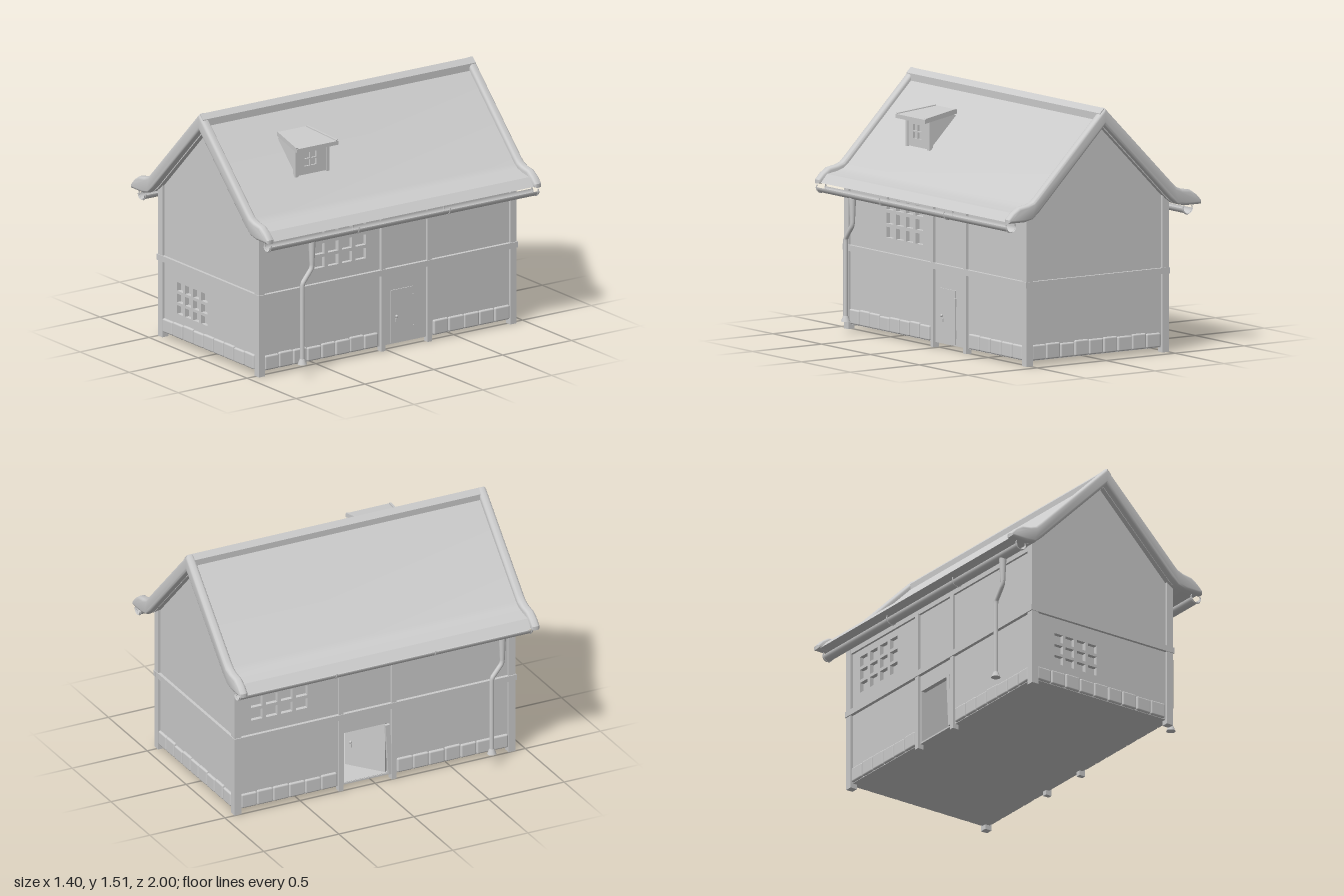
import * as THREE from 'three';
import { toCreasedNormals } from 'three/addons/utils/BufferGeometryUtils.js';
import { RoundedBoxGeometry } from 'three/addons/geometries/RoundedBoxGeometry.js';

const grey = new THREE.MeshStandardMaterial({ color: 0xcccccc });
const thin = new THREE.MeshStandardMaterial({ color: 0xcccccc, side: THREE.DoubleSide });

function add(parent, name, geo, x = 0, y = 0, z = 0, mat = grey) {
  const mesh = new THREE.Mesh(geo, mat);
  mesh.name = name;
  mesh.position.set(x, y, z);
  parent.add(mesh);
  return mesh;
}
const box = (w, h, d) => new THREE.BoxGeometry(w, h, d);
const outline = (pts) => new THREE.Shape(pts.map(([x, y]) => new THREE.Vector2(x, y)));

function extrude(shape, depth, bevel = 0) {
  const geo = new THREE.ExtrudeGeometry(shape, {
    depth: depth - 2 * bevel, bevelEnabled: bevel > 0, bevelSize: bevel,
    bevelThickness: bevel, bevelOffset: -bevel, bevelSegments: 4,
  });
  geo.translate(0, 0, bevel);
  return toCreasedNormals(geo, 0.6);
}

function rectHole(shape, cx, cy, w, h) {
  const a = w / 2, b = h / 2;
  shape.holes.push(outline([[cx - a, cy - b], [cx - a, cy + b], [cx + a, cy + b], [cx + a, cy - b]]));
}

// Cuts a grid of panes and puts the glass behind them
function paneGrid(parent, shape, cx, cy, cols, rows, px, py, w, h, zGlass) {
  for (let i = 0; i < cols; i++)
    for (let j = 0; j < rows; j++)
      rectHole(shape, cx + (i - (cols - 1) / 2) * px, cy + (j - (rows - 1) / 2) * py, w, h);
  add(parent, 'windowGlass', box(cols * px, rows * py, 0.006), cx, cy, zGlass);
}

// Row of slightly uneven foundation stones
let seed = 7;
const rand = () => (seed = (seed * 16807) % 2147483647) / 2147483647;
function stones(parent, u0, u1, face) {
  const n = Math.round((u1 - u0) / 0.103), w = (u1 - u0) / n;
  for (let i = 0; i < n; i++) {
    const h = 0.085 + rand() * 0.01;
    const s = add(parent, 'foundationStone', new RoundedBoxGeometry(w - 0.003, h, 0.035, 2, 0.01),
      u0 + (i + 0.5) * w, 0.033 + h / 2, face - 0.003);
    s.rotation.y = (rand() - 0.5) * 0.06;
  }
}

const HX = 0.5, HZ = 0.92, CX = 0.015, T = 0.03; // wall half sizes, centre, thickness

function side(house, name, angle) {
  const g = new THREE.Group();
  g.name = name;
  g.rotation.y = angle;
  house.add(g);
  return g;
}

function gable(house, name, angle, hasWindow) {
  const g = side(house, name, angle);
  const s = outline([[-HX, 0.03], [HX, 0.03], [HX, 0.92], [0, 1.42], [-HX, 0.92]]);
  if (hasWindow) paneGrid(g, s, -0.187, 0.275, 4, 3, 0.082, 0.071, 0.062, 0.053, HZ - T);
  add(g, 'gableWall', extrude(s, T), 0, 0, HZ - T);
  add(g, 'beltBeam', box(1.044, 0.036, 0.03), 0, 0.488, HZ + 0.004);
  stones(g, -0.475, 0.46, HZ);
}

// Long wall; u runs to the right when looking at the wall from outside
function longWall(house, name, angle, windowU, posts, stoneRuns, doorway) {
  const g = side(house, name, angle);
  const s = outline([[-HZ, 0.03], [HZ, 0.03], [HZ, 0.91], [-HZ, 0.91]]);
  paneGrid(g, s, windowU, 0.71, 4, 3, 0.1, 0.084, 0.075, 0.064, HX - T);
  if (doorway) rectHole(s, doorway[0], 0.205, doorway[1], 0.33);
  add(g, 'sideWall', extrude(s, T), 0, 0, HX - T);
  add(g, 'beltBeam', box(1.88, 0.036, 0.03), 0, 0.488, HX + 0.007);
  add(g, 'topBeam', box(1.86, 0.03, 0.025), 0, 0.885, HX + 0.002);
  for (const u of posts) add(g, 'wallPost', box(0.03, 0.88, 0.04), u, 0.44, HX - 0.003);
  for (const [a, b] of stoneRuns) stones(g, a, b, HX);
  return g;
}

function doorLeaf(parent, width, handleU) {
  add(parent, 'doorLeaf', box(width, 0.325, 0.02), width / 2, 0.2, 0);
  const knob = add(parent, 'doorKnob', new THREE.SphereGeometry(0.009, 12, 8), handleU, 0.2, 0.02);
  knob.scale.z = 0.9;
  add(parent, 'keyPlate', box(0.008, 0.022, 0.006), handleU, 0.172, 0.012);
}

// One half of the roof section, mirrored for the other slope
const mirrored = (top, under) => outline([
  ...top.map(([x, y]) => [x, y]), ...under.map(([x, y]) => [x, y]),
  ...under.slice(0, -1).reverse().map(([x, y]) => [-x, y]), ...top.slice(1).reverse().map(([x, y]) => [-x, y]),
]);

function buildRoof(root) {
  const roof = new THREE.Group();
  roof.name = 'roof';
  root.add(roof);
  const panel = mirrored(
    [[0, 1.47], [0.49, 0.98], [0.52, 0.958], [0.57, 0.943], [0.64, 0.932], [0.685, 0.882]],
    [[0.57, 0.88], [0.52, 0.892], [0.48, 0.92], [0, 1.4]]);
  add(roof, 'roofPanel', extrude(panel, 1.91), 0.005, 0, -0.955);
  const trim = mirrored(
    [[0, 1.51], [0.49, 1.02], [0.52, 0.992], [0.56, 0.977], [0.62, 0.967], [0.665, 0.937], [0.7, 0.9], [0.7, 0.876]],
    [[0.58, 0.876], [0.52, 0.89], [0.47, 0.932], [0, 1.404]]);
  for (const z of [-1, 0.945]) add(roof, 'gableTrim', extrude(trim, 0.055, 0.018), 0.003, 0, z);
  const cap = outline([[0, 1.51], [-0.03, 1.48], [-0.03, 1.43], [0.03, 1.43], [0.03, 1.48]]);
  add(roof, 'ridgeCap', extrude(cap, 1.98), 0.008, 0, -0.99);
}

function buildDormer(root) {
  const d = new THREE.Group();
  d.name = 'dormer';
  d.position.z = 0.424;
  root.add(d);
  const body = outline([[0.13, 1.31], [0.335, 1.1], [0.335, 1.305], [0.18, 1.325]]);
  add(d, 'dormerBody', extrude(body, 0.22), 0, 0, -0.11);
  // Front with four small panes
  const f = new THREE.Group();
  f.name = 'dormerFront';
  f.rotation.y = Math.PI / 2;
  d.add(f);
  const s = outline([[-0.118, 1.13], [0.118, 1.13], [0.118, 1.305], [-0.118, 1.305]]);
  paneGrid(f, s, -0.01, 1.222, 2, 2, 0.047, 0.046, 0.038, 0.038, 0.338);
  add(f, 'dormerWall', extrude(s, 0.018), 0, 0, 0.335);
  for (const u of [-0.112, 0.112]) add(f, 'dormerPost', box(0.022, 0.18, 0.026), u, 1.215, 0.347);
  // Lean-to roof, widening towards its front
  const slab = box(0.262, 0.024, 0.3);
  const p = slab.attributes.position;
  for (let i = 0; i < p.count; i++) {
    const back = p.getX(i) < 0;
    if (back) p.setZ(i, p.getZ(i) * 0.72);
    p.setY(i, p.getY(i) + (back ? 0.017 : -0.017));
  }
  slab.computeVertexNormals();
  add(d, 'dormerRoof', slab, 0.28, 1.322, 0);
  for (const sgn of [-1, 1]) {
    const rail = add(d, 'dormerRoofEdge', box(0.255, 0.012, 0.014), 0.28, 1.334, sgn * 0.124);
    rail.rotation.set(0, -sgn * 0.16, -0.13);
  }
}

// Gutter with its downpipe; dz is the sideways step of the pipe
function buildGutter(root, name, x, dz) {
  const g = new THREE.Group();
  g.name = name;
  g.position.x = x;
  root.add(g);
  const trough = new THREE.CylinderGeometry(0.033, 0.033, 1.96, 16, 1, true, -Math.PI / 2, Math.PI);
  trough.rotateX(Math.PI / 2);
  add(g, 'gutterTrough', trough, 0, 0.855, 0, thin);
  for (const z of [-0.97, -0.33, 0.33, 0.97]) {
    const hook = add(g, 'gutterHook', new THREE.TorusGeometry(0.034, 0.004, 6, 16, Math.PI * 1.3), 0, 0.855, z);
    hook.rotation.z = Math.PI * 0.85;
  }
  const pts = [[0.83, dz], [0.68, dz], [0.655, dz * 0.9], [0.585, dz * 0.1], [0.56, 0], [0.1, 0]];
  const path = new THREE.CatmullRomCurve3(pts.map(([y, z]) => new THREE.Vector3(0, y, 0.72 + z)), false, 'catmullrom', 0.15);
  add(g, 'downpipe', new THREE.TubeGeometry(path, 48, 0.0145, 12));
  add(g, 'pipeCollar', new THREE.CylinderGeometry(0.022, 0.015, 0.15, 14), 0, 0.757, 0.72 + dz);
  add(g, 'pipeFoot', new THREE.CylinderGeometry(0.015, 0.028, 0.034, 14), 0, 0.097, 0.72);
}

export function createModel() {
  const root = new THREE.Group();
  root.name = 'house';
  const house = new THREE.Group();
  house.name = 'walls';
  house.position.x = CX;
  root.add(house);

  add(house, 'floor', box(0.99, 0.012, 1.83), 0, 0.036, 0);
  gable(house, 'frontGable', 0, true);
  gable(house, 'backGable', Math.PI, false);

  // Right wall with its closed door
  const right = longWall(house, 'rightWall', Math.PI / 2, -0.335, [-0.033, 0.304],
    [[-0.89, -0.065], [0.335, 0.89]]);
  const closed = new THREE.Group();
  closed.name = 'closedDoor';
  closed.position.set(0.03, 0, HX - 0.004);
  right.add(closed);
  doorLeaf(closed, 0.16, 0.035);
  for (const y of [0.1, 0.29]) add(closed, 'doorHinge', box(0.01, 0.05, 0.012), 0.16, y, 0.008);

  // Left wall with its door standing open
  const left = longWall(house, 'leftWall', -Math.PI / 2, -0.63, [-0.225, 0.125],
    [[-0.89, -0.25], [0.15, 0.89]], [-0.05, 0.3]);
  const open = new THREE.Group();
  open.name = 'openDoor';
  open.position.set(0.09, 0, HX - 0.02);
  open.rotation.y = Math.PI - 0.9;
  open.scale.z = -1;
  left.add(open);
  doorLeaf(open, 0.26, 0.22);
  const plank = add(left, 'leaningPlank', box(0.03, 0.33, 0.018), 0.095, 0.2, HX + 0.006);
  plank.rotation.z = 0.06;

  // Corner posts
  for (const x of [-1, 1]) for (const z of [-1, 1])
    add(house, 'cornerPost', box(0.045, 0.94, 0.045), x * 0.4925, 0.47, z * 0.9125);

  buildRoof(root);
  buildDormer(root);
  buildGutter(root, 'rightGutter', 0.67, -0.07);
  buildGutter(root, 'leftGutter', -0.61, 0.07);
  return root;
}
